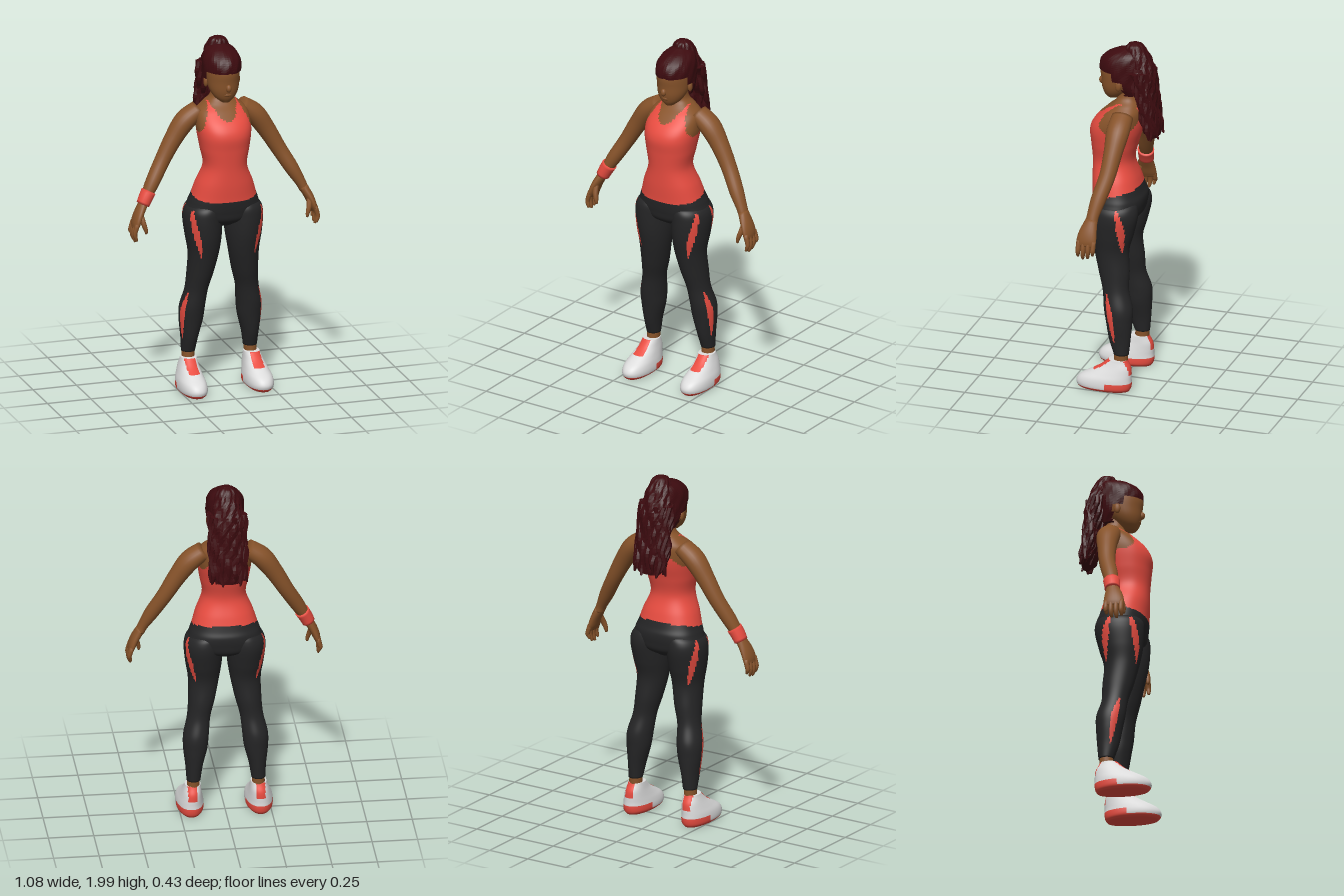
import * as THREE from 'three';

const mat = (name, color) => {
  const m = new THREE.MeshStandardMaterial({ color });
  m.name = name;
  return m;
};

// Skin a row of cross-sections [x, y, z, halfWidth, halfDepth], listed bottom to top.
// paint(point, angle) picks the material index of a face; -1 leaves the face out.
function loft(name, sections, mats, o = {}) {
  const { rows = 24, segs = 20, side = 1, lean = false, power = 1, paint, bump, flat } = o;
  const curve = (f) => new THREE.CatmullRomCurve3(sections.map(f), false, 'catmullrom', 0.5);
  const centre = curve((p) => new THREE.Vector3(p[0] * side, p[1], p[2]));
  const radius = curve((p) => new THREE.Vector3(p[3], p[4], 0));
  const pow = (v) => Math.sign(v) * Math.abs(v) ** power;
  const pts = [];
  const Z = new THREE.Vector3(0, 0, 1);
  for (let i = 0; i <= rows; i++) {
    const c = centre.getPoint(i / rows), r = radius.getPoint(i / rows);
    const T = lean ? centre.getTangent(i / rows) : new THREE.Vector3(0, 1, 0);
    const U = T.clone().cross(Z).normalize(), V = U.clone().cross(T);
    for (let j = 0; j < segs; j++) {
      const a = (j / segs) * Math.PI * 2, k = bump ? bump(a, c.y) : 1;
      pts.push(c.clone().addScaledVector(U, pow(Math.sin(a)) * r.x * k)
        .addScaledVector(V, pow(Math.cos(a)) * r.y * k));
    }
  }
  const ends = [pts.length, pts.length + 1];
  pts.push(centre.getPoint(0), centre.getPoint(1));
  const faces = mats.map(() => []);
  const add = (...ids) => {
    const m = new THREE.Vector3();
    ids.forEach((id) => m.addScaledVector(pts[id], 1 / ids.length));
    const j = ids[0] % segs;
    let deg = ((j + 0.5) / segs) * 360 * side;
    if (deg > 180) deg -= 360;
    if (deg < -180) deg += 360;
    const k = paint ? paint(m, deg) : 0;
    if (k < 0) return;
    faces[k].push(ids[0], ids[1], ids[2]);
    if (ids.length === 4) faces[k].push(ids[0], ids[2], ids[3]);
  };
  for (let j = 0; j < segs; j++) {
    const n = (j + 1) % segs, top = rows * segs;
    add(j, ends[0], n);
    add(top + j, top + n, ends[1]);
    for (let i = 0; i < rows; i++) {
      add(i * segs + j, i * segs + n, (i + 1) * segs + n, (i + 1) * segs + j);
    }
  }
  let g = new THREE.BufferGeometry().setFromPoints(pts);
  g.setIndex(faces.flat());
  if (flat) g = g.toNonIndexed();
  let start = 0;
  faces.forEach((f, k) => {
    if (f.length) g.addGroup(start, f.length, k);
    start += f.length;
  });
  g.computeVertexNormals();
  const mesh = new THREE.Mesh(g, mats);
  mesh.name = name;
  return mesh;
}

export function createModel() {
  const skin = mat('brown skin', 0x87532a);
  const red = mat('coral red', 0xe84c40);
  const black = mat('black fabric', 0x252526);
  const hair = mat('dark maroon hair', 0x3d0b0f);
  const white = mat('shoe white', 0xdcdcdc);
  const model = new THREE.Group();
  model.name = 'athlete';
  const ball = (name, m, x, y, z, sx, sy, sz) => {
    const b = new THREE.Mesh(new THREE.SphereGeometry(1, 12, 8), m);
    b.name = name;
    b.position.set(x, y, z);
    b.scale.set(sx, sy, sz);
    model.add(b);
  };

  // Torso: leggings, tank top with scooped neck and narrow back, bare shoulders
  model.add(loft('torso', [
    [0, 0.95, 0.02, 0.06, 0.06], [0, 0.99, 0.02, 0.16, 0.12], [0, 1.04, 0.02, 0.205, 0.136],
    [0, 1.09, 0.022, 0.195, 0.142], [0, 1.13, 0.03, 0.18, 0.136], [0, 1.2, 0.042, 0.158, 0.128],
    [0, 1.3, 0.058, 0.12, 0.114], [0, 1.4, 0.052, 0.135, 0.128], [0, 1.48, 0.043, 0.147, 0.143],
    [0, 1.54, 0.025, 0.15, 0.135], [0, 1.6, -0.005, 0.14, 0.105], [0, 1.64, -0.02, 0.098, 0.075],
    [0, 1.68, -0.02, 0.056, 0.054], [0, 1.76, -0.01, 0.05, 0.05],
  ], [skin, red, black], {
    rows: 104, segs: 72, power: 0.88,
    paint: ({ x, y, z }) => {
      const w = Math.abs(x);
      if (y < 1.14 - 0.2 * z) return 2;
      if (z > -0.02) {
        const armhole = y > 1.5 && w > 0.147 - 0.42 * (y - 1.5);
        return armhole || y > 1.56 + 15 * x * x || y > 1.66 ? 0 : 1;
      }
      const blade = y > 1.47 && w > Math.max(0.055, 0.147 - 0.9 * (y - 1.47));
      return blade || y > 1.635 ? 0 : 1;
    },
  }));

  // Legs with tapering side stripes, ankles and trainers
  const stripe = (y, a, y0, y1, a0, a1, half) => {
    const t = (y - y0) / (y1 - y0);
    return t > 0 && t < 1 && Math.abs(a - (a0 + (a1 - a0) * t)) < half * Math.sin(Math.PI * t) ** 0.7;
  };
  for (const side of [1, -1]) {
    model.add(loft('leg', [
      [0.178, 0.215, -0.043, 0.038, 0.042], [0.174, 0.3, -0.033, 0.048, 0.06],
      [0.167, 0.4, -0.027, 0.066, 0.073], [0.162, 0.48, -0.02, 0.07, 0.08],
      [0.145, 0.58, 0, 0.064, 0.073], [0.128, 0.68, 0.015, 0.073, 0.086],
      [0.115, 0.8, 0.033, 0.085, 0.097], [0.115, 0.9, 0.03, 0.1, 0.12],
      [0.117, 1.0, 0.022, 0.107, 0.135], [0.11, 1.06, 0.02, 0.1, 0.13], [0.09, 1.1, 0.01, 0.07, 0.1],
    ], [black, red], {
      rows: 100, segs: 72, side,
      paint: ({ y }, a) => (stripe(y, a, 0.79, 1.07, 27, 56, 11)
        || stripe(y, a, 0.81, 1.07, 142, 108, 11)
        || stripe(y, a, 0.29, 0.58, 72, 60, 15) ? 1 : 0),
    }));
    model.add(loft('ankle', [
      [0.185, 0.08, -0.04, 0.04, 0.045], [0.18, 0.15, -0.04, 0.036, 0.04], [0.178, 0.24, -0.043, 0.034, 0.038],
    ], [skin], { rows: 8, side }));
    model.add(loft('shoe', [
      [0.19, 0.005, 0.05, 0.058, 0.14], [0.19, 0.02, 0.052, 0.073, 0.152], [0.19, 0.045, 0.052, 0.076, 0.157],
      [0.19, 0.075, 0.042, 0.072, 0.146], [0.188, 0.105, 0.016, 0.063, 0.12],
      [0.185, 0.14, -0.012, 0.053, 0.088], [0.182, 0.17, -0.022, 0.046, 0.063],
      [0.181, 0.185, -0.026, 0.043, 0.052],
    ], [white, red], {
      rows: 32, segs: 48, side, power: 0.9,
      paint: ({ x, y, z }) => {
        const w = Math.abs(x * side - 0.187);
        const sole = y < 0.02, heel = z < 0.02 && y < 0.055;
        const tongue = z > 0.01 && w < 0.03 && y > 0.115;
        const backTab = z < -0.06 && w < 0.025 && y > 0.1;
        return sole || heel || tongue || backTab ? 1 : 0;
      },
    }));
  }

  // Arms, hands and fingers
  for (const side of [1, -1]) {
    model.add(loft('arm', [
      [0.463, 1.1, 0.032, 0.026, 0.034], [0.445, 1.14, 0.028, 0.029, 0.034], [0.4, 1.22, 0.012, 0.039, 0.042],
      [0.335, 1.33, -0.015, 0.043, 0.045], [0.268, 1.445, -0.026, 0.05, 0.052],
      [0.2, 1.54, -0.03, 0.057, 0.064], [0.12, 1.6, -0.03, 0.05, 0.06],
    ], [skin], { rows: 36, segs: 24, side, lean: true }));
    model.add(loft('palm', [
      [0.515, 0.98, 0.046, 0.014, 0.05], [0.507, 1.01, 0.046, 0.021, 0.056],
      [0.49, 1.055, 0.042, 0.024, 0.05], [0.458, 1.115, 0.032, 0.026, 0.034],
    ], [skin], { rows: 14, side, lean: true }));
    for (let f = 0; f < 4; f++) {
      const z = 0.004 + f * 0.028, tip = 0.905 + [0.025, 0.005, 0, 0.012][f];
      model.add(loft('finger', [
        [0.515, tip, z + 0.004, 0.006, 0.007], [0.522, tip + 0.02, z + 0.002, 0.011, 0.012],
        [0.525, 0.96, z, 0.013, 0.014], [0.51, 1.01, z, 0.014, 0.014],
      ], [skin], { rows: 8, segs: 8, side, lean: true }));
    }
    model.add(loft('thumb', [
      [0.462, 0.955, 0.095, 0.007, 0.007], [0.466, 0.98, 0.094, 0.012, 0.013],
      [0.478, 1.02, 0.084, 0.015, 0.016], [0.485, 1.07, 0.055, 0.014, 0.016],
    ], [skin], { rows: 8, segs: 8, side, lean: true }));
  }
  model.add(loft('wristband', [
    [0.462, 1.105, 0.032, 0.036, 0.042], [0.445, 1.14, 0.028, 0.039, 0.044], [0.425, 1.175, 0.022, 0.041, 0.046],
  ], [red], { rows: 6, side: -1, lean: true }));

  // Head with nose and ears
  model.add(loft('head', [
    [0, 1.662, 0.065, 0.025, 0.03], [0, 1.69, 0.053, 0.058, 0.06], [0, 1.73, 0.038, 0.08, 0.087],
    [0, 1.78, 0.02, 0.09, 0.11], [0, 1.84, 0.01, 0.093, 0.125], [0, 1.9, 0, 0.085, 0.112],
    [0, 1.935, -0.01, 0.055, 0.075], [0, 1.95, -0.01, 0.02, 0.03],
  ], [skin], { rows: 32, segs: 32 }));
  ball('nose', skin, 0, 1.752, 0.128, 0.016, 0.022, 0.018);
  ball('mouth', skin, 0, 1.712, 0.112, 0.024, 0.012, 0.012);
  for (const s of [1, -1]) ball('ear', skin, s * 0.092, 1.765, 0.005, 0.012, 0.03, 0.018);

  // Swept-back hair, leaving the face open
  const tousle = (amp) => (a, y) => 1 + amp * Math.sin(7 * a + 40 * y) + amp * Math.sin(11 * a - 63 * y);
  model.add(loft('hairCap', [
    [0, 1.7, -0.035, 0.07, 0.065], [0, 1.76, -0.005, 0.098, 0.112], [0, 1.84, 0.004, 0.105, 0.134],
    [0, 1.9, -0.002, 0.098, 0.125], [0, 1.94, -0.025, 0.074, 0.095], [0, 1.965, -0.04, 0.03, 0.04],
  ], [hair], {
    rows: 26, segs: 40, flat: true, bump: tousle(0.012),
    paint: ({ y, z }) => (z > (y < 1.79 ? -0.02 : 0.035) && y < 1.835 ? -1 : 0),
  }));
  model.add(loft('ponytail', [
    [0, 1.465, -0.18, 0.06, 0.022], [0, 1.5, -0.163, 0.09, 0.042], [0, 1.6, -0.15, 0.1, 0.05],
    [0, 1.7, -0.135, 0.1, 0.055], [0, 1.8, -0.115, 0.095, 0.07], [0, 1.88, -0.085, 0.08, 0.077],
    [0, 1.95, -0.07, 0.06, 0.06], [0, 1.985, -0.062, 0.042, 0.042], [0, 1.998, -0.06, 0.015, 0.015],
  ], [hair], { rows: 36, segs: 36, flat: true, bump: tousle(0.045) }));

  // Wavy locks around the ponytail
  for (let i = 0; i < 16; i++) {
    const a = (i / 16) * Math.PI * 2, sx = Math.sin(a), cz = Math.cos(a);
    const drop = 1.455 + 0.04 * (0.5 + 0.5 * Math.sin(i * 2.4));
    const lock = [];
    for (let k = 0; k <= 7; k++) {
      const t = k / 7, y = drop + (1.85 - drop) * t;
      const wave = 0.008 * Math.sin(k * 2.1 + i * 1.7);
      lock.push([sx * (0.094 + wave), y, -0.178 + 0.078 * t + cz * (0.026 + 0.035 * t) + wave,
        k ? 0.017 : 0.006, k ? 0.015 : 0.006]);
    }
    model.add(loft('hairLock', lock, [hair], { rows: 21, segs: 6, flat: true }));
  }
  return model;
}
